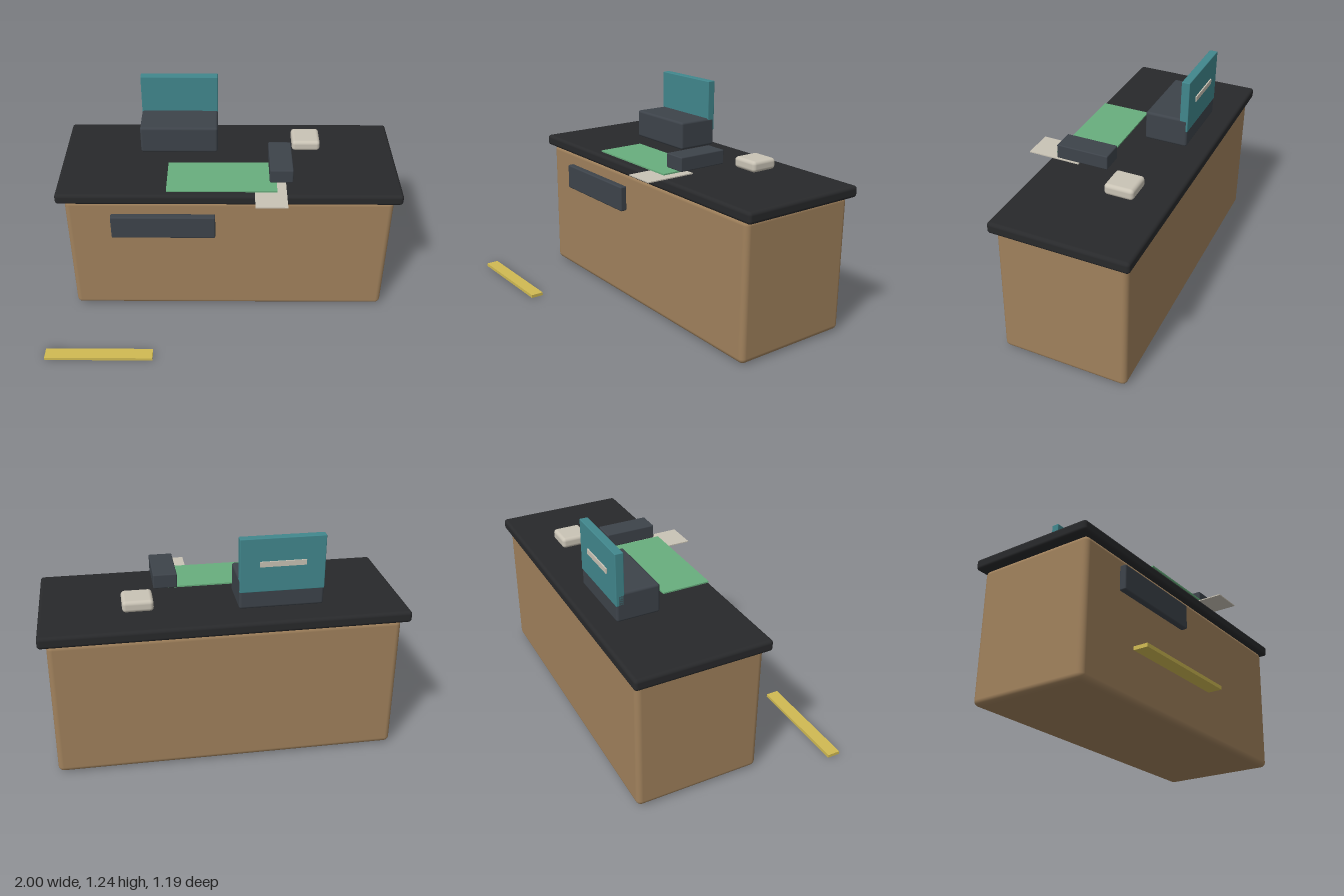
import * as THREE from 'three';
import { RoundedBoxGeometry } from 'three/addons/geometries/RoundedBoxGeometry.js';

const material = (color) => new THREE.MeshStandardMaterial({ color });

export function createModel() {
  const model = new THREE.Group();
  model.name = 'serviceCounter';

  const wood = material(0xa0815c);
  const black = material(0x28292b);
  const slate = material(0x3d434a);
  const teal = material(0x41878d);
  const green = material(0x68ae7d);
  const cream = material(0xc9c3b5);
  const yellow = material(0xd0ba53);

  // Adds a box from its [min, max] extents, rounded when a radius is given
  function box(name, mat, [x0, x1], [y0, y1], [z0, z1], radius = 0) {
    const w = x1 - x0, h = y1 - y0, d = z1 - z0;
    const geometry = radius
      ? new RoundedBoxGeometry(w, h, d, 4, radius)
      : new THREE.BoxGeometry(w, h, d);
    const mesh = new THREE.Mesh(geometry, mat);
    mesh.name = name;
    mesh.position.set((x0 + x1) / 2, (y0 + y1) / 2, (z0 + z1) / 2);
    model.add(mesh);
  }

  // Counter
  box('counterBody', wood, [-0.875, 0.955], [0.007, 0.775], [-0.57, 0.132], 0.03);
  box('counterTop', black, [-0.92, 0.997], [0.77, 0.833], [-0.595, 0.155], 0.018);
  box('frontPanel', slate, [-0.62, -0.037], [0.56, 0.705], [0.145, 0.185], 0.008);

  // Till with upright screen
  box('tillBase', slate, [-0.47, -0.026], [0.858, 1.021], [-0.479, -0.238], 0.014);
  box('tillScreen', teal, [-0.47, -0.027], [0.95, 1.242], [-0.48, -0.434], 0.004);
  box('screenBackStrip', cream, [-0.37, -0.13], [1.09, 1.118], [-0.487, -0.479]);

  // Items lying on the counter
  box('paperSheet', cream, [0.18, 0.355], [0.842, 0.848], [-0.018, 0.275]);
  box('deskMat', green, [-0.306, 0.303], [0.848, 0.856], [-0.138, 0.137]);
  box('cardReader', slate, [0.262, 0.39], [0.877, 0.956], [-0.202, 0.088], 0.006);
  box('smallDevice', cream, [0.405, 0.567], [0.852, 0.914], [-0.423, -0.263], 0.02);

  // Marker strip on the floor
  box('floorStrip', yellow, [-1, -0.39], [0.002, 0.02], [0.52, 0.592]);

  return model;
}
